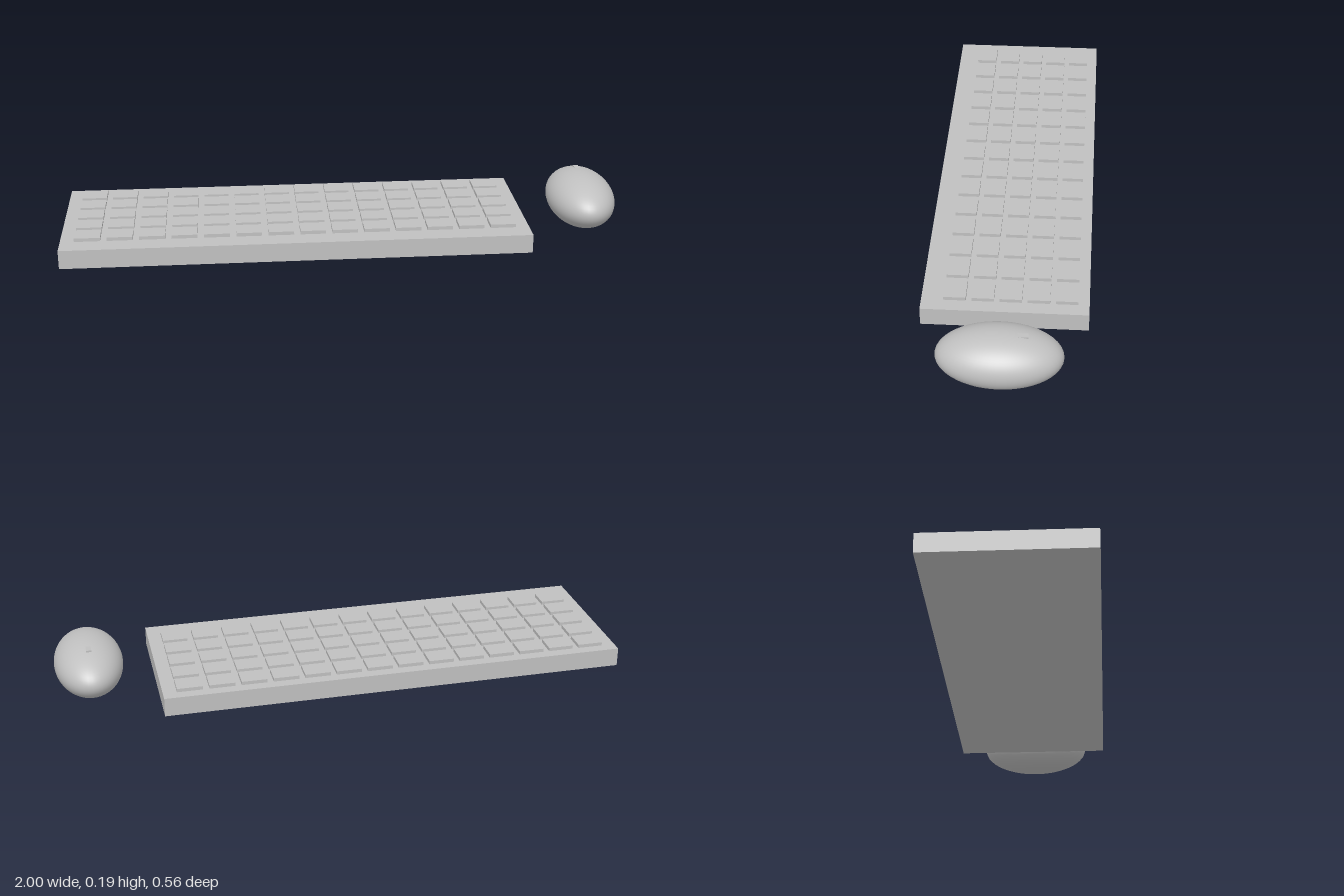
import * as THREE from 'three';

export function createModel() {
  const model = new THREE.Group();
  const grey = new THREE.MeshStandardMaterial({ color: 0xc0c0c0 });
  grey.name = 'light grey';

  function box(name, parent, w, h, d, x, y, z) {
    const mesh = new THREE.Mesh(new THREE.BoxGeometry(w, h, d), grey);
    mesh.name = name;
    mesh.position.set(x, y, z);
    parent.add(mesh);
    return mesh;
  }

  // Keyboard: slab with a grid of low keys set slightly towards the back
  const keyboard = new THREE.Group();
  keyboard.name = 'keyboard';
  keyboard.position.x = -0.175;
  model.add(keyboard);

  const slabHeight = 0.0675, keyTop = 0.08;
  box('keyboardBase', keyboard, 1.65, slabHeight, 0.5625, 0, slabHeight / 2, 0);

  const columns = 14, rows = 5, pitchX = 0.1125, pitchZ = 0.0938;
  const keyHeight = 0.0225;
  for (let row = 0; row < rows; row++) {
    for (let col = 0; col < columns; col++) {
      box('key', keyboard, 0.09, keyHeight, 0.075,
        (col - (columns - 1) / 2) * pitchX,
        keyTop - keyHeight / 2,
        -0.2062 + row * pitchZ);
    }
  }

  // Mouse: smooth ellipsoid with a small scroll wheel block near the back
  const mouse = new THREE.Group();
  mouse.name = 'mouse';
  mouse.position.x = 0.88;
  model.add(mouse);

  const body = new THREE.Mesh(new THREE.SphereGeometry(1, 48, 32), grey);
  body.name = 'mouseBody';
  body.scale.set(0.12, 0.0935, 0.206);
  body.position.y = 0.0945;
  mouse.add(body);

  box('scrollWheel', mouse, 0.018, 0.02, 0.037, 0, 0.174, -0.0735);

  return model;
}
